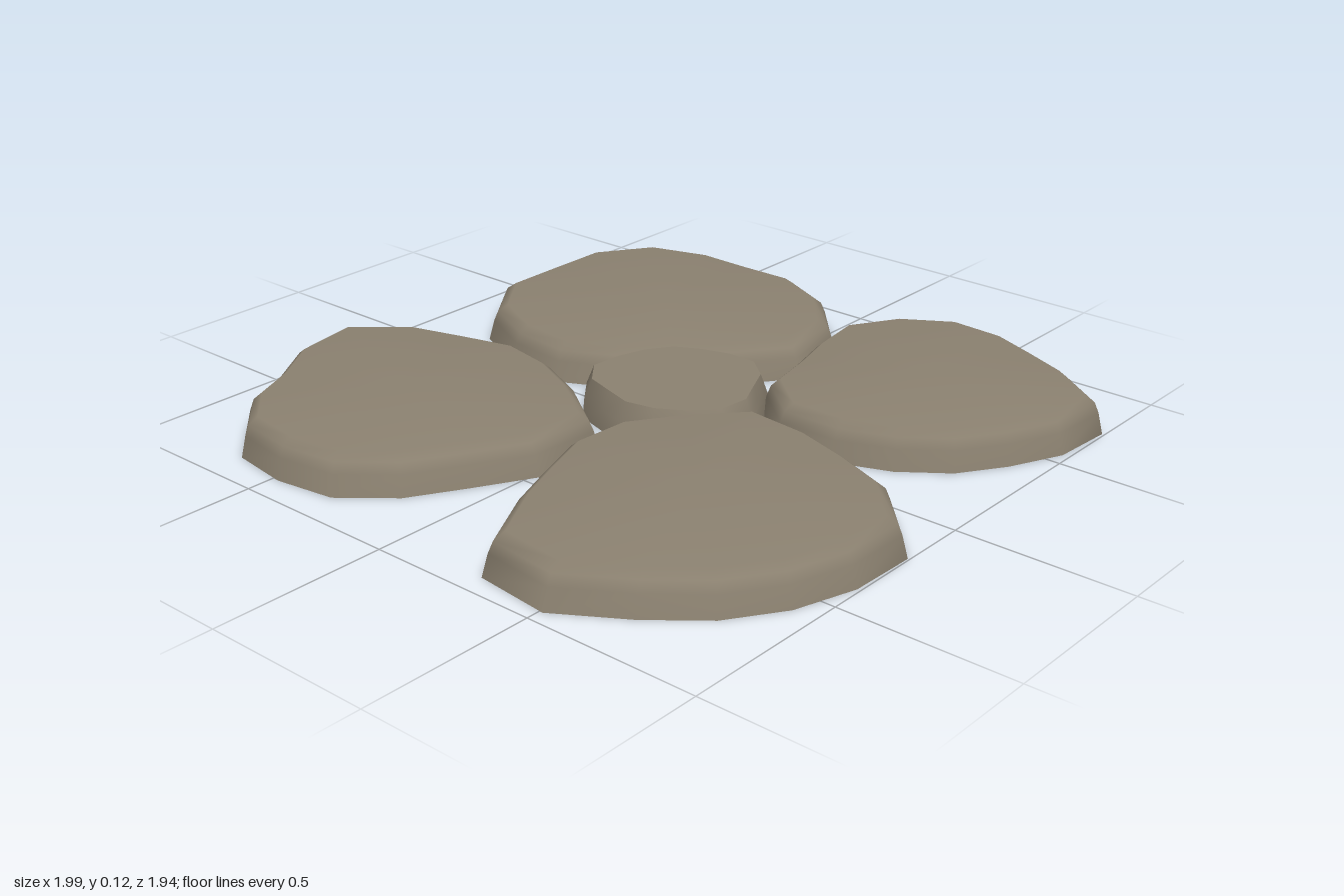
import * as THREE from 'three';

// Side profiles from the ground up: [scale of the outline, height]
const ROUNDED = [[1, 0], [0.97, 0.06], [0.945, 0.09], [0.89, 0.11]];
const FLAT = [[1, 0], [0.98, 0.06], [0.9, 0.116]];

// Outline radii are taken at even angles, clockwise from the back
const STONES = [
  {
    name: 'backLeftStone', centre: [-0.38, -0.5],
    radii: [0.44, 0.48, 0.51, 0.54, 0.52, 0.43, 0.38, 0.43, 0.48, 0.5, 0.53, 0.54, 0.5, 0.54, 0.54, 0.48],
  },
  {
    name: 'backRightStone', centre: [0.54, -0.55],
    radii: [0.42, 0.39, 0.42, 0.49, 0.44, 0.4, 0.4, 0.41, 0.44, 0.48, 0.46, 0.39, 0.4, 0.46, 0.47, 0.465],
  },
  {
    name: 'frontLeftStone', centre: [-0.48, 0.46],
    radii: [0.45, 0.45, 0.48, 0.56, 0.5, 0.44, 0.45, 0.47, 0.46, 0.47, 0.44, 0.41, 0.48, 0.56, 0.5, 0.44],
  },
  {
    name: 'frontRightStone', centre: [0.51, 0.4],
    radii: [0.47, 0.45, 0.49, 0.525, 0.48, 0.46, 0.46, 0.48, 0.56, 0.58, 0.47, 0.43, 0.455, 0.48, 0.48, 0.53],
  },
  {
    name: 'centreStone', centre: [0.04, -0.08], crispTop: true,
    radii: [0.24, 0.26, 0.25, 0.235, 0.26, 0.27, 0.255, 0.25, 0.25, 0.24, 0.27, 0.28, 0.25, 0.24, 0.24, 0.23],
  },
];

// Lofts a stone through its rings, closed by a shallow dome and a flat base
function stoneGeometry(radii, crispTop) {
  const n = radii.length;
  const rings = crispTop ? FLAT : ROUNDED;
  const pos = [], index = [];
  const addRing = ([scale, y]) => {
    const start = pos.length / 3;
    radii.forEach((r, i) => {
      const t = (i / n) * Math.PI * 2;
      pos.push(r * scale * Math.sin(t), y, -r * scale * Math.cos(t));
    });
    return start;
  };
  const addFan = (ring, y, up) => {
    const c = pos.length / 3;
    pos.push(0, y, 0);
    for (let i = 0; i < n; i++) {
      const a = ring + i, b = ring + (i + 1) % n;
      if (up) index.push(c, b, a);
      else index.push(c, a, b);
    }
  };

  // Side
  const starts = rings.map(addRing);
  for (let k = 0; k < rings.length - 1; k++) {
    for (let i = 0; i < n; i++) {
      const j = (i + 1) % n;
      const a = starts[k] + i, b = starts[k] + j;
      const c = starts[k + 1] + i, d = starts[k + 1] + j;
      index.push(b, a, c, b, c, d);
    }
  }

  // Top shares the last ring unless its edge is crisp; the base edge is always sharp
  const last = rings.length - 1;
  if (crispTop) addFan(addRing(rings[last]), 0.117, true);
  else addFan(starts[last], 0.121, true);
  addFan(addRing(rings[0]), 0, false);

  const geo = new THREE.BufferGeometry();
  geo.setAttribute('position', new THREE.Float32BufferAttribute(pos, 3));
  geo.setIndex(index);
  geo.computeVertexNormals();
  return geo;
}

export function createModel() {
  const group = new THREE.Group();
  group.name = 'steppingStones';
  const stone = new THREE.MeshStandardMaterial({ color: 0x8b8170 });
  stone.name = 'stone';
  for (const { name, centre, radii, crispTop } of STONES) {
    const mesh = new THREE.Mesh(stoneGeometry(radii, crispTop), stone);
    mesh.name = name;
    mesh.position.set(centre[0], 0, centre[1]);
    group.add(mesh);
  }
  return group;
}
